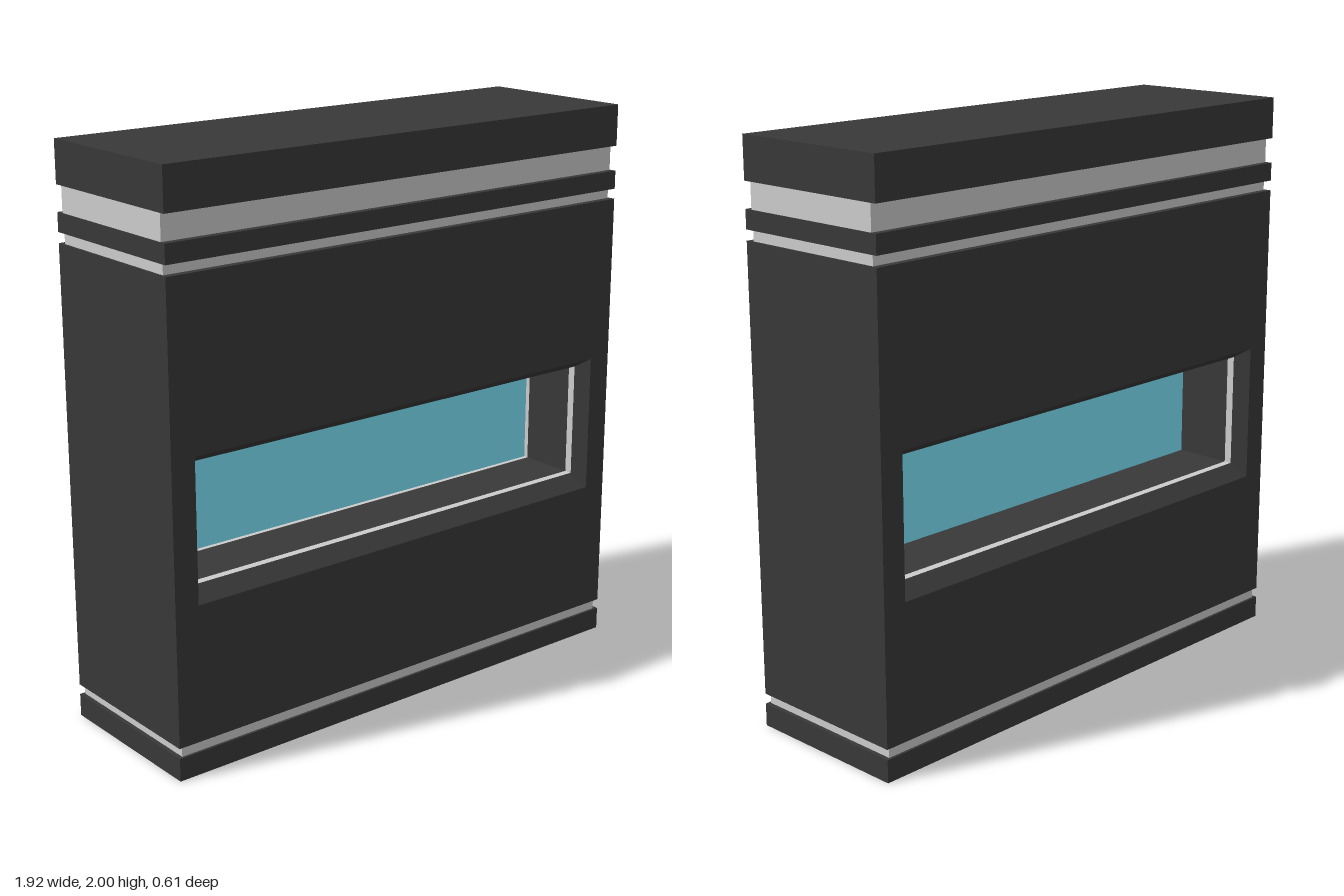
import * as THREE from 'three';

const dark = new THREE.MeshStandardMaterial({ color: 0x383838 });
const grey = new THREE.MeshStandardMaterial({ color: 0xcccccc });
const blue = new THREE.MeshStandardMaterial({ color: 0x7de6fb });

// Skins a run of rectangular cross-sections [halfWidth, bottom, top, z]
function loft(stations) {
  const pos = [];
  const corners = ([w, b, t, z]) => [[-w, b, z], [w, b, z], [w, t, z], [-w, t, z]];
  for (let i = 0; i < stations.length - 1; i++) {
    const p = corners(stations[i]), q = corners(stations[i + 1]);
    for (let k = 0; k < 4; k++) {
      const n = (k + 1) % 4;
      pos.push(...p[k], ...p[n], ...q[n], ...p[k], ...q[n], ...q[k]);
    }
  }
  const geo = new THREE.BufferGeometry();
  geo.setAttribute('position', new THREE.Float32BufferAttribute(pos, 3));
  geo.computeVertexNormals();
  return geo;
}

export function createModel() {
  const group = new THREE.Group();
  const add = (name, geo, mat) => {
    const mesh = new THREE.Mesh(geo, mat);
    mesh.name = name;
    group.add(mesh);
    return mesh;
  };
  const slab = (name, halfX, halfZ, y0, y1, mat) => {
    add(name, new THREE.BoxGeometry(halfX * 2, y1 - y0, halfZ * 2), mat).position.y = (y0 + y1) / 2;
  };

  const X = 0.96, Z = 0.305;

  // Stacked plinth, mouldings and mantel with recessed grey bands
  slab('plinth', X, Z, 0, 0.08, dark);
  slab('plinthBand', 0.945, 0.296, 0.08, 0.116, grey);
  slab('lowerMantelBand', 0.952, 0.28, 1.664, 1.7, grey);
  slab('mantelMoulding', X, Z, 1.7, 1.765, dark);
  slab('upperMantelBand', 0.956, 0.28, 1.765, 1.854, grey);
  slab('mantelTop', X, Z, 1.854, 2, dark);

  // Body with a bevelled opening on both faces
  const outer = z => [X, 0.116, 1.664, z];
  const rim = z => [0.872, 0.59, 1.085, z];
  const inner = z => [0.851, 0.635, 1.047, z];
  add('body', loft([inner(-0.245), rim(-Z), outer(-Z), outer(Z), rim(Z), inner(0.245)]), dark);

  // Lining of the opening, from front to back
  const lining = [
    ['frontTrim', 0.245, 0.217, grey],
    ['frontLining', 0.217, 0.015, dark],
    ['paneTrim', 0.015, -0.004, grey],
    ['backLining', -0.004, -0.217, dark],
    ['backTrim', -0.217, -0.245, grey],
  ];
  for (const [name, z0, z1, mat] of lining) add(name, loft([inner(z0), inner(z1)]), mat);

  // Pane in the middle of the opening
  const pane = add('pane', new THREE.BoxGeometry(1.702, 0.412, 0.004), blue);
  pane.position.set(0, 0.841, -0.004);

  return group;
}
